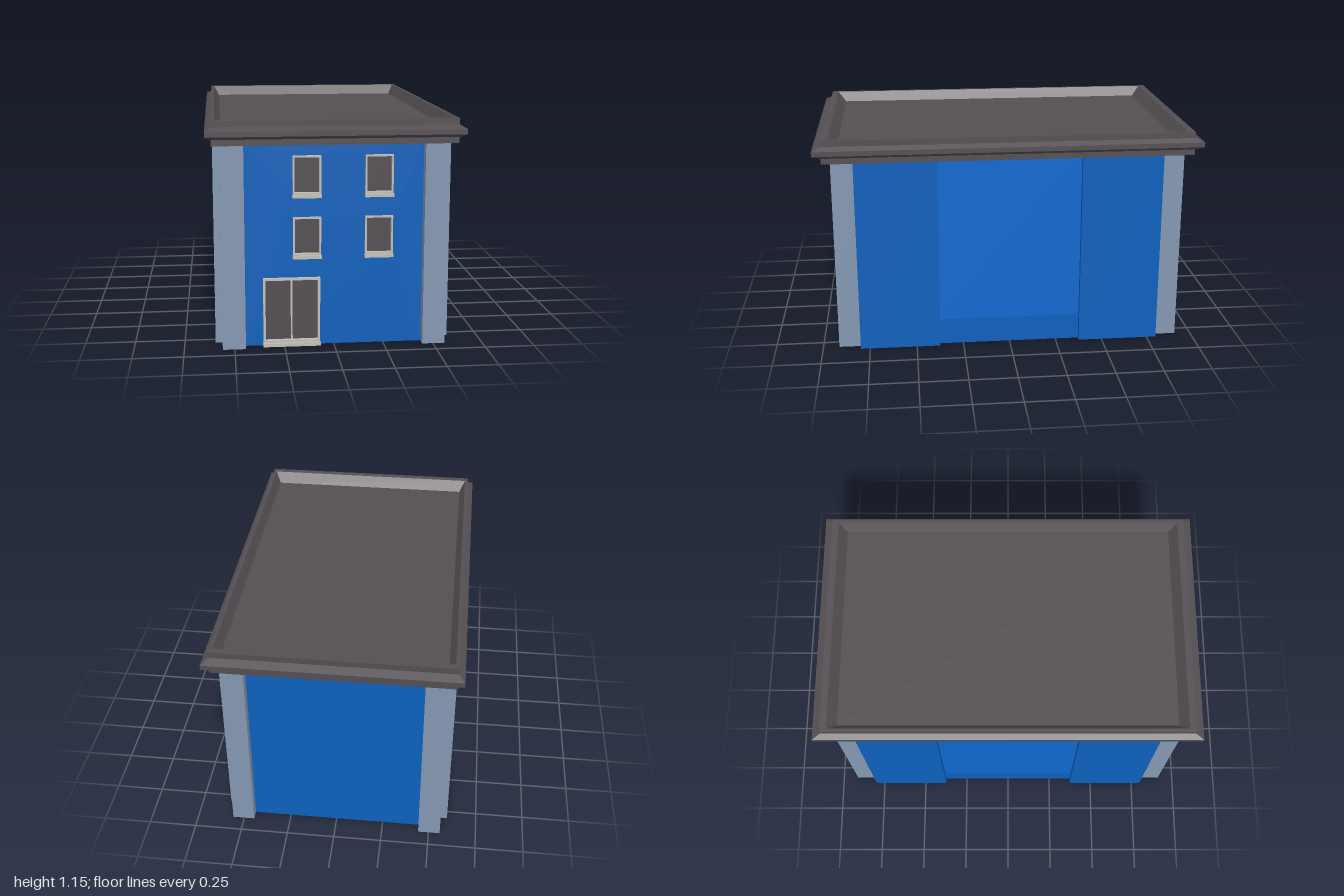
import * as THREE from 'three';

const mat = (name, color, side = THREE.DoubleSide) => {
  const m = new THREE.MeshStandardMaterial({ color, side });
  m.name = name;
  return m;
};

// Flat quads lofted between consecutive rows of points
function loft(rows, closed = false) {
  const pos = [];
  for (let r = 0; r < rows.length - 1; r++) {
    const lo = rows[r], hi = rows[r + 1], n = lo.length;
    for (let i = 0; i < (closed ? n : n - 1); i++) {
      const j = (i + 1) % n;
      pos.push(...lo[i], ...lo[j], ...hi[j], ...lo[i], ...hi[j], ...hi[i]);
    }
  }
  const g = new THREE.BufferGeometry();
  g.setAttribute('position', new THREE.Float32BufferAttribute(pos, 3));
  g.computeVertexNormals();
  return g;
}

// Vertical strip following [x, z] points
const strip = (pts, y0, y1) => loft([y0, y1].map(y => pts.map(([x, z]) => [x, y, z])));

function rectPath(x0, y0, x1, y1, Type = THREE.Path) {
  const p = new Type();
  p.moveTo(x0, y0);
  p.lineTo(x1, y0);
  p.lineTo(x1, y1);
  p.lineTo(x0, y1);
  p.closePath();
  return p;
}

export function createModel() {
  const blue = mat('wall blue', 0x0d60bc);
  const bright = mat('panel blue', 0x0f68d0);
  const grey = mat('pillar grey', 0x8497b2);
  const dark = mat('roof dark grey', 0x544e52, THREE.FrontSide);
  const trim = mat('trim beige', 0xc2bfb6);

  const model = new THREE.Group();
  model.name = 'building';
  const add = (name, geo, material, x = 0, y = 0, z = 0, parent = model) => {
    const m = new THREE.Mesh(geo, material);
    m.name = name;
    m.position.set(x, y, z);
    parent.add(m);
    return m;
  };

  const TOP = 1.028, WALL_Z = 0.865, SIDE = 0.595, INNER = 0.567;

  // Corner pillars and the side walls next to them, mirrored to four corners
  const pillar = [[0.445, WALL_Z], [0.445, 0.915], [0.56, 0.915], [0.56, 0.8], [SIDE, 0.8]];
  const sideWall = [[SIDE, 0.8], [SIDE, 0.375], [INNER, 0.375]];
  for (const sx of [1, -1]) {
    for (const sz of [1, -1]) {
      const place = pts => {
        const p = pts.map(([x, z]) => [x * sx, z * sz]);
        return sx * sz < 0 ? p.reverse() : p;
      };
      add('cornerPillar', strip(place(pillar), 0, TOP), grey);
      add('sideWall', strip(place(sideWall), 0, TOP), blue);
    }
    // Recessed middle panel with a darker base
    const mid = [[sx * INNER, sx * 0.375], [sx * INNER, -sx * 0.375]];
    add('sidePanelBase', strip(mid, 0, 0.14), blue);
    add('sidePanel', strip(mid, 0.14, TOP), bright);
  }

  // Front wall with window openings, plain back wall
  const W = 0.14, H = 0.21;
  const windows = [];
  for (const x of [-0.135, 0.224]) for (const y of [0.447, 0.754]) windows.push([x, y]);
  const front = rectPath(-0.445, 0, 0.445, TOP, THREE.Shape);
  for (const [x, y] of windows) front.holes.push(rectPath(x - W / 2, y, x + W / 2, y + H));
  add('frontWall', new THREE.ShapeGeometry(front), blue, 0, 0, WALL_Z);
  add('backWall', strip([[0.445, -WALL_Z], [-0.445, -WALL_Z]], 0, TOP), blue);

  // Windows: frame ring, sill and recessed glass
  const frameGeo = (w, h, edge, sill, depth) => {
    const s = rectPath(-w / 2, 0, w / 2, h, THREE.Shape);
    s.holes.push(rectPath(-w / 2 + edge, sill, w / 2 - edge, h - edge));
    return new THREE.ExtrudeGeometry(s, { depth, bevelEnabled: false });
  };
  const winFrame = frameGeo(W, H, 0.009, 0.026, 0.05);
  for (const [x, y] of windows) {
    const g = new THREE.Group();
    g.name = 'window';
    g.position.set(x, y, WALL_Z);
    model.add(g);
    add('windowFrame', winFrame, trim, 0, 0, -0.038, g);
    add('windowSill', new THREE.BoxGeometry(W + 0.004, 0.016, 0.026), trim, 0, 0.008, 0.01, g);
    add('windowGlass', new THREE.PlaneGeometry(W - 0.018, H - 0.035), dark, 0, H / 2 + 0.0085, -0.008, g);
  }

  // Double door: frame, step, light backing and two dark leaves
  const door = new THREE.Group();
  door.name = 'door';
  door.position.set(-0.213, 0, WALL_Z);
  model.add(door);
  add('doorFrame', frameGeo(0.285, 0.35, 0.011, 0.03, 0.018), trim, 0, 0, 0.001, door);
  add('doorStep', new THREE.BoxGeometry(0.288, 0.018, 0.032), trim, 0, 0.009, 0.017, door);
  add('doorBacking', new THREE.PlaneGeometry(0.263, 0.309), trim, 0, 0.1845, 0.002, door);
  for (const s of [1, -1]) {
    add('doorLeaf', new THREE.BoxGeometry(0.125, 0.302, 0.006), dark, s * 0.0675, 0.185, 0.006, door);
  }

  // Roof with moulded cornice, raised rim and sunken deck: [half x, half z, y]
  const profile = [
    [0, 0, 1.027], [0.6, 0.957, 1.027], [0.6, 0.957, 1.057], [0.63, 1, 1.075],
    [0.63, 1, 1.1], [0.6, 0.957, 1.118], [0.6, 0.957, 1.148],
    [0.582, 0.922, 1.148], [0.552, 0.878, 1.095], [0, 0, 1.095],
  ];
  add('roof', loft(profile.map(([x, z, y]) =>
    [[-x, y, z], [x, y, z], [x, y, -z], [-x, y, -z]]), true), dark);

  return model;
}
